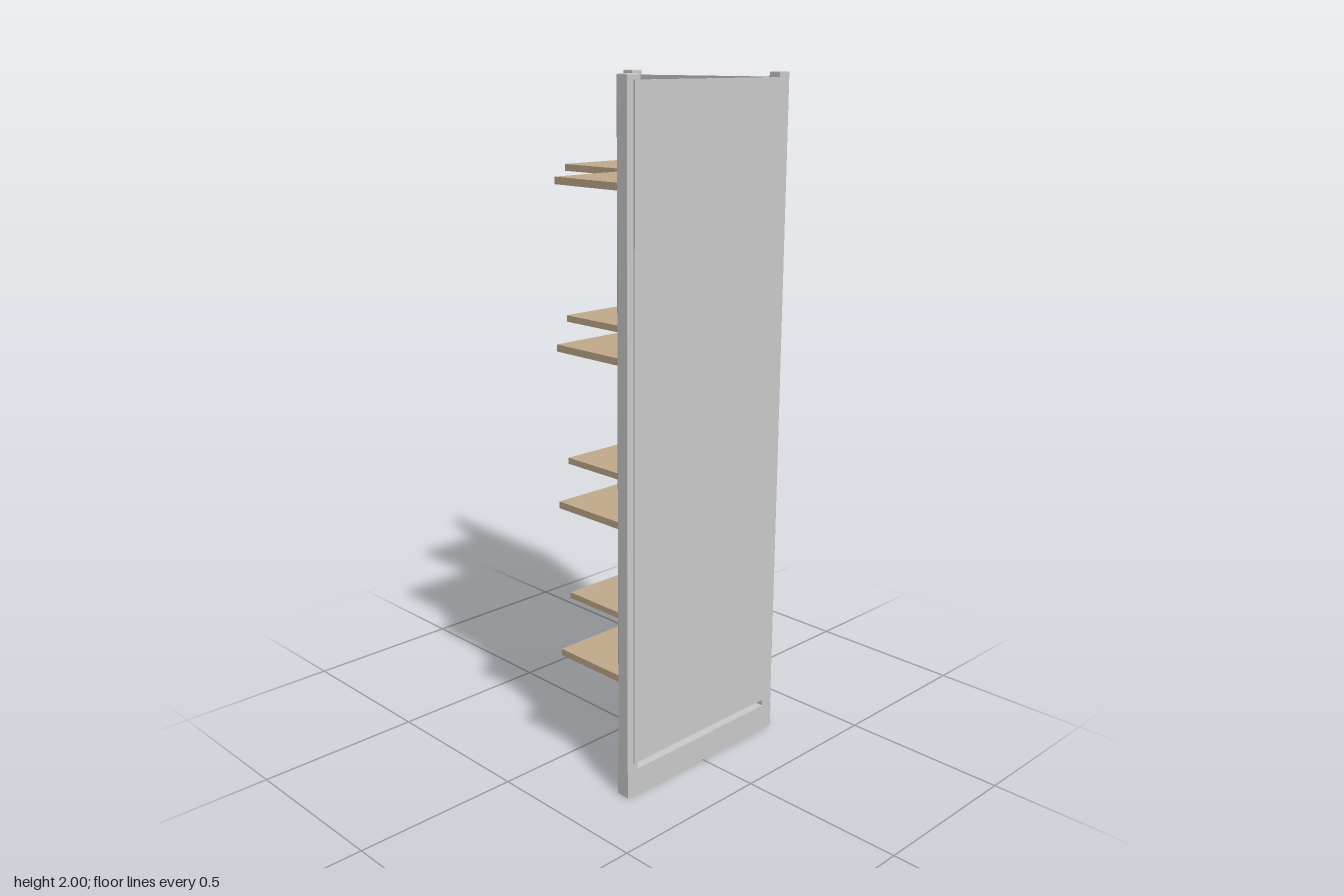
import * as THREE from 'three';
import { RoundedBoxGeometry } from 'three/addons/geometries/RoundedBoxGeometry.js';

const grey = new THREE.MeshStandardMaterial({ color: 0xcccccc });
const wood = new THREE.MeshStandardMaterial({ color: 0xc2ab8d });

// Box given by its extents on each axis; a bevel softens the edges.
function block(name, [x0, x1], [y0, y1], [z0, z1], material, bevel = 0) {
  const size = [x1 - x0, y1 - y0, z1 - z0];
  const geometry = bevel
    ? new RoundedBoxGeometry(...size, 2, bevel)
    : new THREE.BoxGeometry(...size);
  const mesh = new THREE.Mesh(geometry, material);
  mesh.name = name;
  mesh.position.set((x0 + x1) / 2, (y0 + y1) / 2, (z0 + z1) / 2);
  return mesh;
}

export function createModel() {
  const group = new THREE.Group();
  group.name = 'cornerShelf';

  // Three square corner posts
  const posts = { backRightPost: [-0.295, -0.2925], cornerPost: [0.289, -0.2925], frontLeftPost: [0.289, 0.292] };
  for (const [name, [x, z]] of Object.entries(posts)) {
    group.add(block(name, [x - 0.02, x + 0.02], [0, 2], [z - 0.02, z + 0.02], grey, 0.003));
  }

  // Base rails, flush with the outside of the posts
  group.add(block('backRail', [-0.315, 0.309], [0, 0.08], [-0.3125, -0.282], grey));
  group.add(block('sideRail', [0.28, 0.309], [0, 0.08], [-0.3125, 0.312], grey));

  // Thin wall panels, leaving a slot above the rails
  group.add(block('backPanel', [-0.294, 0.272], [0.103, 1.985], [-0.316, -0.307], grey));
  group.add(block('sidePanel', [0.304, 0.313], [0.103, 1.985], [-0.274, 0.29], grey));

  // Four levels, each with a long back shelf and a shorter side shelf
  for (let i = 0; i < 4; i++) {
    const y = 0.336 + i * 0.458;
    const level = new THREE.Group();
    level.name = `shelfLevel${i + 1}`;
    level.add(
      block('backShelf', [-0.294, 0.288], [y, y + 0.02], [-0.283, -0.01], wood),
      block('sideShelf', [0.007, 0.28], [y, y + 0.02], [-0.008, 0.291], wood)
    );
    group.add(level);
  }

  return group;
}
